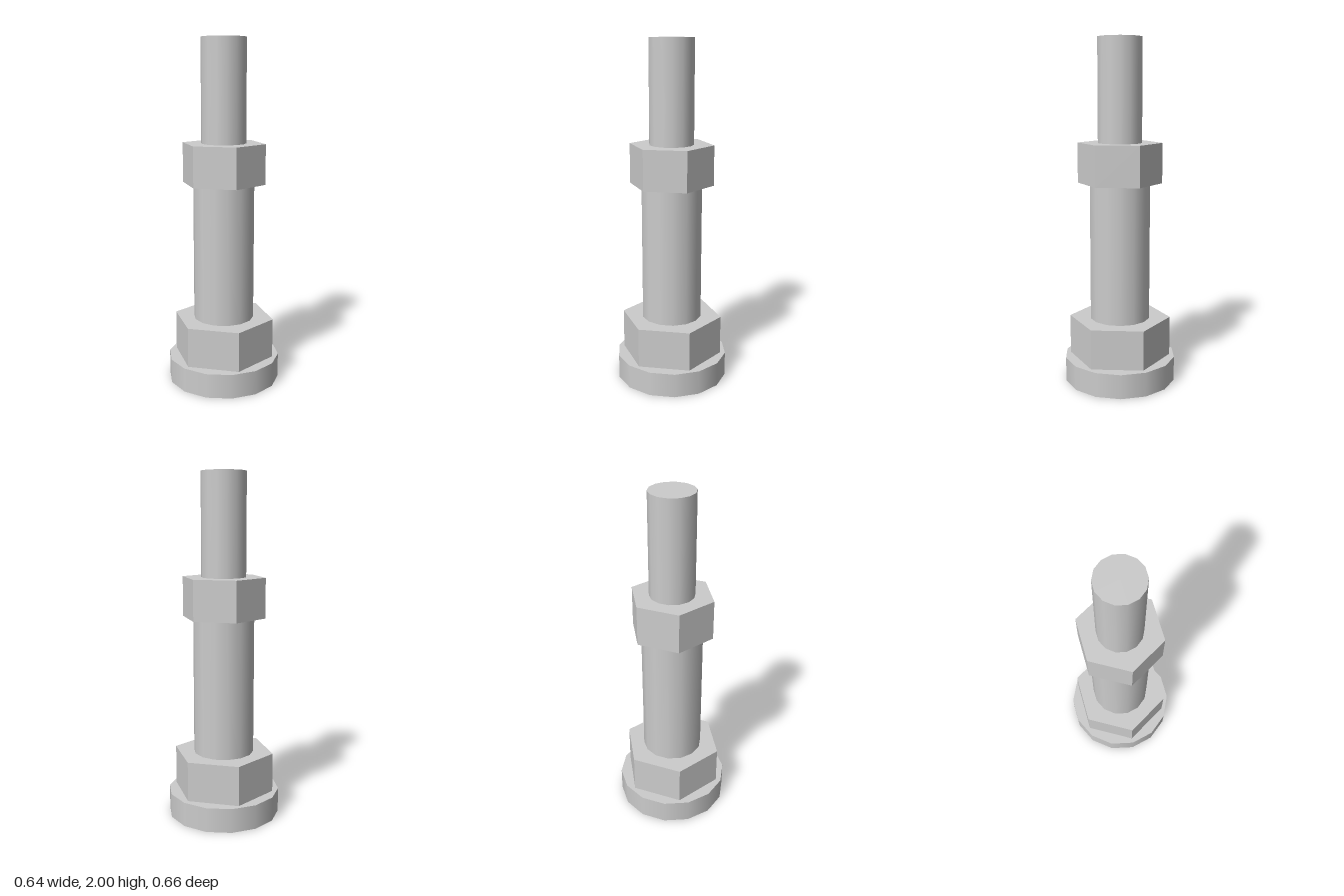
import * as THREE from 'three';

export function createModel() {
  const model = new THREE.Group();
  const steel = new THREE.MeshStandardMaterial({ color: 0xcccccc, side: THREE.DoubleSide });
  steel.name = 'steel';

  const add = (name, geometry, y) => {
    const mesh = new THREE.Mesh(geometry, steel);
    mesh.name = name;
    mesh.position.y = y;
    model.add(mesh);
    return mesh;
  };

  // Round section between two heights, smooth sides
  const round = (name, radius, y0, y1, open = false) =>
    add(name, new THREE.CylinderGeometry(radius, radius, y1 - y0, 14, 1, open), (y0 + y1) / 2);

  // Hexagonal nut with flat faces, points towards front and back
  const nut = (name, radius, y0, y1) => {
    const g = new THREE.CylinderGeometry(radius, radius, y1 - y0, 6).toNonIndexed();
    g.computeVertexNormals();
    return add(name, g, (y0 + y1) / 2);
  };

  // Foot: a shallow cup, open underneath
  round('footWall', 0.329, 0, 0.143, true);
  add('footTop', new THREE.CircleGeometry(0.329, 14, Math.PI / 2).rotateX(-Math.PI / 2), 0.143);

  // Stem with its two nuts
  nut('lowerNut', 0.298, 0.143, 0.376);
  round('sleeve', 0.177, 0.376, 1.18);
  nut('upperNut', 0.244, 1.18, 1.412);
  round('rod', 0.129, 1.412, 2);

  return model;
}
